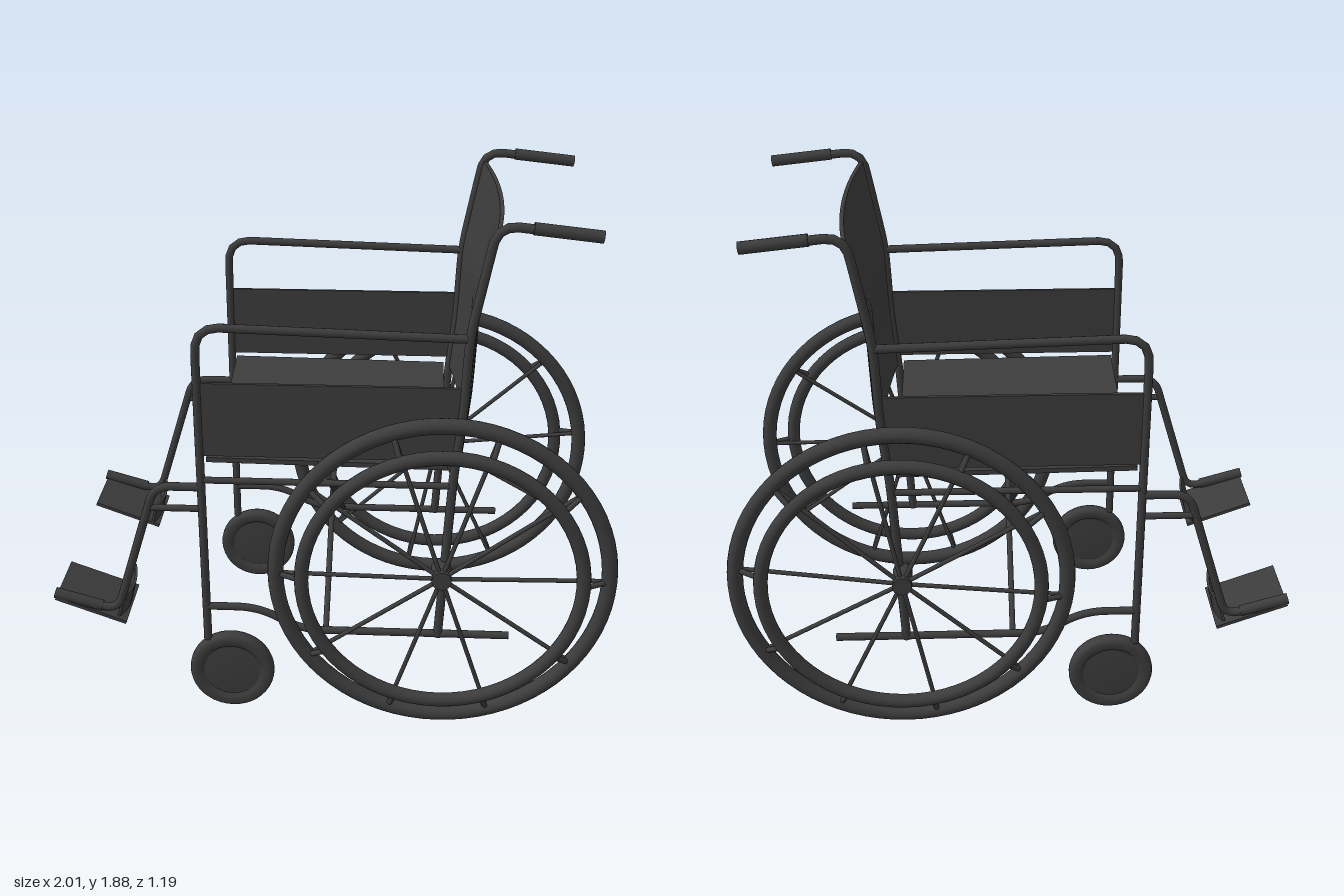
import * as THREE from 'three';

const V = (x, y, z) => new THREE.Vector3(x, y, z);
const mat = new THREE.MeshStandardMaterial({ color: 0x3c3c3c, side: THREE.DoubleSide });

function add(parent, name, geo, x = 0, y = 0, z = 0) {
  const m = new THREE.Mesh(geo, mat);
  m.name = name;
  m.position.set(x, y, z);
  parent.add(m);
  return m;
}

// Straight runs joined by rounded bends
function bentPath(pts, bend) {
  const path = new THREE.CurvePath();
  let from = pts[0];
  for (let i = 1; i < pts.length - 1; i++) {
    const p = pts[i];
    const toward = (q) => p.clone().lerp(q, Math.min(0.45, bend / p.distanceTo(q)));
    const a = toward(pts[i - 1]), b = toward(pts[i + 1]);
    path.add(new THREE.LineCurve3(from, a));
    path.add(new THREE.QuadraticBezierCurve3(a, p, b));
    from = b;
  }
  path.add(new THREE.LineCurve3(from, pts[pts.length - 1]));
  return path;
}

// Capped tube through [x, y] points in the plane z
function tube(parent, name, xy, z, r = 0.014, bend = 0.07) {
  const g = new THREE.Group();
  g.name = name;
  parent.add(g);
  const path = bentPath(xy.map(([x, y]) => V(x, y, z)), bend);
  add(g, name + 'Tube', new THREE.TubeGeometry(path, xy.length > 2 ? 56 : 1, r, 12));
  for (const t of [0, 1]) {
    const p = path.getPointAt(t), d = path.getTangentAt(t).multiplyScalar(t ? 1 : -1);
    const cap = add(g, name + 'Cap', new THREE.CircleGeometry(r, 12), p.x, p.y, p.z);
    cap.quaternion.setFromUnitVectors(V(0, 0, 1), d);
  }
}

// Straight rod between two points
function rod(parent, name, a, b, r) {
  const m = add(parent, name, new THREE.CylinderGeometry(r, r, a.distanceTo(b), 10));
  m.position.copy(a).lerp(b, 0.5);
  m.quaternion.setFromUnitVectors(V(0, 1, 0), b.clone().sub(a).normalize());
}

// Box whose vertices are moved by a rule
function shapedBox(w, h, d, sx, sy, sz, rule) {
  const geo = new THREE.BoxGeometry(w, h, d, sx, sy, sz);
  const pos = geo.attributes.position, v = V(0, 0, 0);
  for (let i = 0; i < pos.count; i++) {
    rule(v.fromBufferAttribute(pos, i));
    pos.setXYZ(i, v.x, v.y, v.z);
  }
  geo.computeVertexNormals();
  return geo;
}

const backPost = [[0.385, 0.33], [0.42, 0.98], [0.445, 1.22], [0.457, 1.5], [0.52, 1.83]];
function postX(y) {
  let i = 0;
  while (i < backPost.length - 2 && y > backPost[i + 1][1]) i++;
  const [x0, y0] = backPost[i], [x1, y1] = backPost[i + 1];
  return x0 + (x1 - x0) * (y - y0) / (y1 - y0);
}

// Large wheel with spokes, hub and outer hand rim
function driveWheel(s) {
  const g = new THREE.Group();
  g.name = 'driveWheel';
  g.position.set(0.39, 0.615, 0);
  add(g, 'tyre', new THREE.TorusGeometry(0.582, 0.028, 14, 72), 0, 0, s * 0.52);
  add(g, 'handRim', new THREE.TorusGeometry(0.488, 0.025, 14, 64), 0, 0, s * 0.57);
  add(g, 'hub', new THREE.CylinderGeometry(0.035, 0.035, 0.1, 20), 0, 0, s * 0.505).rotation.x = Math.PI / 2;
  for (let i = 0; i < 10; i++) {
    const a = i * Math.PI / 5 + (s < 0 ? 0.12 : 0);
    const at = (r, z) => V(Math.cos(a) * r, Math.sin(a) * r, s * z);
    rod(g, 'spoke', at(0.02, 0.535), at(0.57, 0.52), 0.008);
    rod(g, 'rimBracket', at(0.57, 0.53), at(0.49, 0.57), 0.01);
  }
  return g;
}

// Small front wheel with a recessed disc
function casterWheel(s) {
  const half = [[0, 0.02], [0.1, 0.02], [0.105, 0.013], [0.112, 0.026], [0.14, 0.028], [0.151, 0.02], [0.155, 0.008]];
  const profile = [...half, ...half.map(([r, h]) => [r, -h]).reverse()].map(([r, h]) => new THREE.Vector2(r, h)).reverse();
  const m = new THREE.Mesh(new THREE.LatheGeometry(profile, 40), mat);
  m.name = 'casterWheel';
  m.rotation.x = Math.PI / 2;
  m.position.set(-0.365, 0.16, s * 0.46);
  return m;
}

function footRest(s) {
  const g = new THREE.Group();
  g.name = 'footRest';
  const z = s * 0.463;
  tube(g, 'legTube', [[-0.45, 0.915], [-0.615, 0.915], [-0.775, 0.4], [-0.99, 0.468]], z, 0.015, 0.06);
  tube(g, 'legBrace', [[-0.45, 0.83], [-0.635, 0.83]], z, 0.012);
  tube(g, 'plateHolder', [[-0.83, 0.418], [-1.0, 0.468]], z, 0.02);
  const plate = add(g, 'footPlate', new THREE.BoxGeometry(0.27, 0.012, 0.25), -0.871, 0.405, s * 0.355);
  plate.rotation.z = -0.36;
  // Curved upright strip behind the heel
  add(g, 'heelStrip', shapedBox(0.01, 0.085, 0.235, 1, 1, 10, (v) => {
    const t = v.z / 0.1175;
    v.x += 0.018 * (1 - t * t) + v.y * 0.25;
    v.y += 0.02 * t * t * (s * t > 0 ? 0.7 : 0.3);
  }), -0.762, 0.405, s * 0.348);
  return g;
}

function sideFrame(s) {
  const g = new THREE.Group();
  g.name = 'sideFrame';
  const z = s * 0.463;
  tube(g, 'armrestAndFrontPost', [[-0.45, 0.29], [-0.45, 1.51], [0.45, 1.485]], z, 0.015, 0.09);
  tube(g, 'backPostAndHandle', [...backPost.slice(0, 4), [0.528, 1.872], [0.86, 1.837]], z, 0.016, 0.07);
  tube(g, 'handGrip', [[0.64, 1.862], [0.86, 1.838]], z, 0.021);
  tube(g, 'seatRail', [[-0.45, 0.943], [0.42, 0.943]], z, 0.012);
  tube(g, 'lowerRail', [[-0.45, 0.43], [-0.26, 0.43], [-0.11, 0.34], [0.64, 0.34]], z, 0.014, 0.08);
  add(g, 'sidePanel', new THREE.BoxGeometry(0.88, 0.27, 0.012), 0, 1.175, z);
  rod(g, 'axle', V(0.39, 0.615, s * 0.44), V(0.39, 0.615, s * 0.55), 0.018);
  return g;
}

export function createModel() {
  const model = new THREE.Group();
  model.name = 'wheelchair';
  for (const s of [1, -1]) {
    model.add(driveWheel(s), casterWheel(s), footRest(s), sideFrame(s));
    // One arm of the folding cross brace
    rod(model, 'crossBrace', V(-0.01 + s * 0.009, 0.945, s * 0.455), V(-0.01 + s * 0.009, 0.34, -s * 0.455), 0.011);
  }
  // Sagging sling seat
  add(model, 'seat', shapedBox(0.83, 0.018, 0.91, 1, 1, 20, (v) => {
    v.y -= 0.035 * (1 - (v.z / 0.455) ** 2) + v.x * 0.012;
  }), -0.015, 1.013, 0);
  // Backrest sling follows the posts and bows backwards
  add(model, 'backrest', shapedBox(0.014, 0.835, 0.91, 1, 16, 20, (v) => {
    v.y += 1.4175;
    v.x += postX(v.y) + 0.008 + 0.034 * (1 - (v.z / 0.455) ** 2);
  }));
  return model;
}
